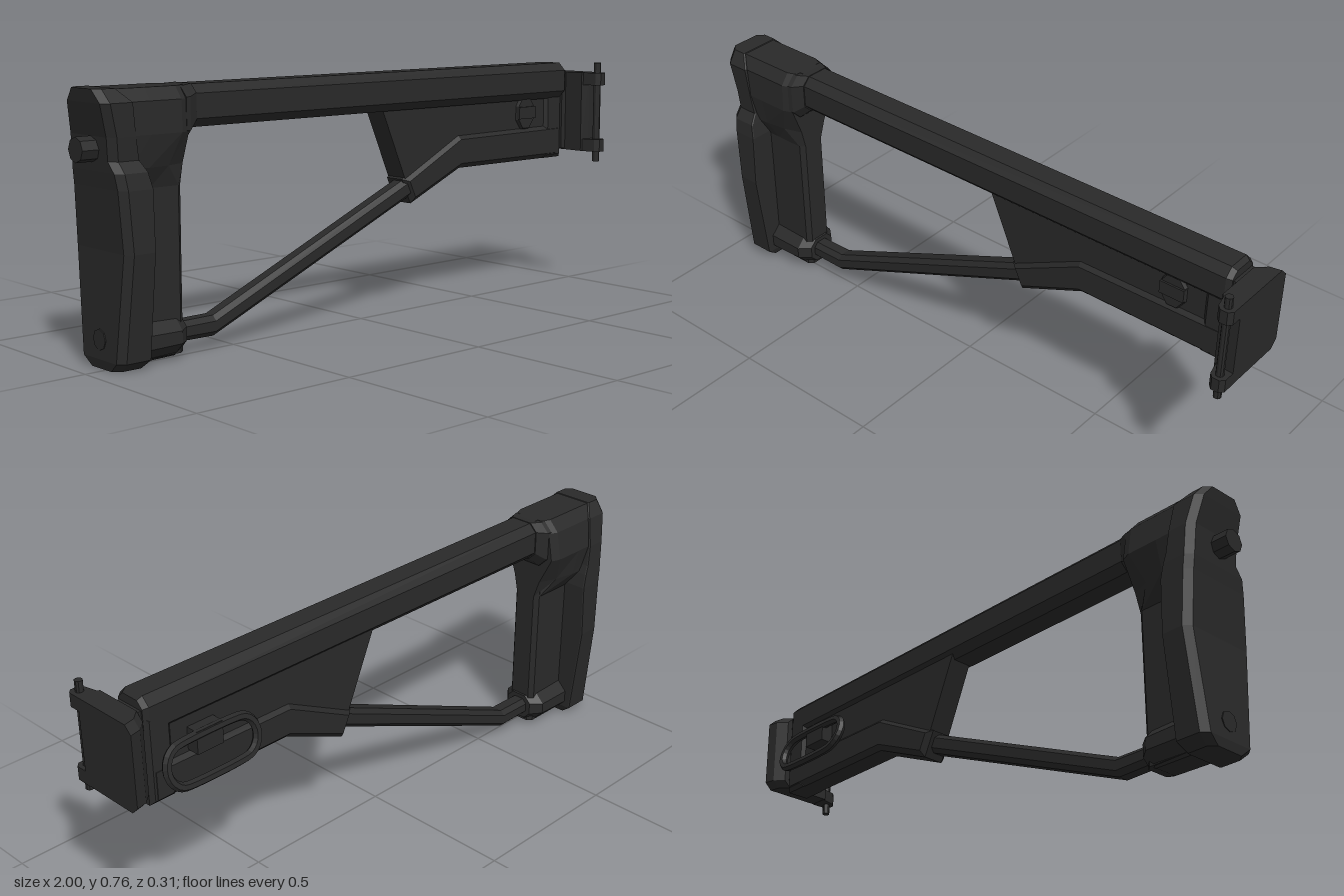
import * as THREE from 'three';

const ZC = -0.02; // centre plane of the stock
const ZB = -0.031; // centre plane of the boom, set towards the back

// Skin closed rings of [x,y,z] points into a flat-shaded, capped solid.
function loft(rings) {
  const n = rings[0].length, tris = [];
  for (let i = 0; i < rings.length - 1; i++) {
    for (let j = 0; j < n; j++) {
      const k = (j + 1) % n, a = rings[i], b = rings[i + 1];
      tris.push([a[j], a[k], b[k]], [a[j], b[k], b[j]]);
    }
  }
  const first = rings[0], last = rings[rings.length - 1];
  for (let j = 1; j < n - 1; j++) {
    tris.push([first[0], first[j + 1], first[j]], [last[0], last[j], last[j + 1]]);
  }
  let volume = 0;
  for (const [a, b, c] of tris) {
    volume += a[0] * (b[1] * c[2] - b[2] * c[1]) + a[1] * (b[2] * c[0] - b[0] * c[2]) + a[2] * (b[0] * c[1] - b[1] * c[0]);
  }
  if (volume < 0) tris.forEach((t) => t.reverse());
  const geo = new THREE.BufferGeometry();
  geo.setAttribute('position', new THREE.Float32BufferAttribute(tris.flat(2), 3));
  geo.computeVertexNormals();
  return geo;
}

// Rectangle with cut corners, half sizes a and b, cut c.
const octagon = (a, b, c) => [[a, b - c], [a - c, b], [c - a, b], [-a, b - c], [-a, c - b], [c - a, -b], [a - c, -b], [a, c - b]];

// Cross-sections in the yz plane: [x, y, halfWidth, halfHeight, cut]
const alongX = (rows) => loft(rows.map(([x, y, hw, hh, c]) => octagon(hw, hh, c).map(([u, v]) => [x, y + v, ZC + u])));

// Cross-sections in the xz plane from a profile [x, front width, back width].
const alongY = (rows) => loft(rows.map(([y, half]) => [
  ...half.map(([x, w]) => [x, y, ZC + w]),
  ...half.slice().reverse().map(([x, w, back = w]) => [x, y, ZC - back]),
]));

// Side outline extruded symmetrically about the boom's centre plane.
function plate(points, halfWidth, bevel) {
  const shape = new THREE.Shape(points.map(([x, y]) => new THREE.Vector2(x, y)));
  const depth = 2 * (halfWidth - bevel);
  const geo = new THREE.ExtrudeGeometry(shape, {
    depth, bevelEnabled: bevel > 0, bevelThickness: bevel, bevelSize: bevel, bevelOffset: -bevel, bevelSegments: 1,
  });
  return geo.translate(0, 0, ZB - depth / 2);
}

export function createModel() {
  const group = new THREE.Group();
  const black = new THREE.MeshStandardMaterial({ color: 0x292929, flatShading: true });
  black.name = 'matte black';

  const add = (name, geo, x = 0, y = 0, z = 0) => {
    const mesh = new THREE.Mesh(geo, black);
    mesh.name = name;
    mesh.position.set(x, y, z);
    group.add(mesh);
  };
  const box = (name, w, h, d, x, y, z) => add(name, new THREE.BoxGeometry(w, h, d), x, y, z);

  // Butt pad, notched on its front side: [y, back x, front x, front width, back width]
  const padRows = [
    [0.003, -0.935, -0.85, 0.067, 0.067], [0.03, -0.94, -0.84, 0.1, 0.1], [0.33, -0.93, -0.84, 0.132, 0.132],
    [0.5, -0.94, -0.84, 0.126, 0.126], [0.545, -0.945, -0.85, 0.118, 0.124], [0.575, -0.947, -0.86, 0.092, 0.122],
    [0.64, -0.952, -0.87, 0.095, 0.118], [0.73, -0.972, -0.88, 0.098, 0.1], [0.767, -0.978, -0.915, 0.067, 0.067],
  ];
  add('buttPad', alongY(padRows.map(([y, b, f, w, v]) => [y, [
    [b, w - 0.02, v - 0.02], [b + 0.02, w, v], [f - 0.002, w, v], [f, w - 0.004, v - 0.004],
  ]])));

  // Narrow upright spine in front of the pad
  const spine = [[-0.87, 0.048], [-0.8, 0.048], [-0.705, 0.048], [-0.69, 0.035]];
  add('buttSpine', alongY([[0.018, spine], [0.6, spine]]));

  // Head block with shoulders sloping down to the spine
  const head = (w, v) => [[-0.93, w, v], [-0.82, w, v], [-0.72, w, v], [-0.69, w - 0.012, v - 0.012]];
  add('buttHead', alongY([
    [0.49, spine], [0.55, [[-0.88, 0.08, 0.095], [-0.82, 0.078, 0.092], [-0.75, 0.068, 0.078], [-0.69, 0.048, 0.055]]],
    [0.64, head(0.093, 0.112)], [0.73, head(0.09, 0.095)], [0.765, head(0.062, 0.062)],
  ]));
  add('headCollar', alongX([
    [-0.7, 0.688, 0.085, 0.076, 0.03], [-0.685, 0.688, 0.083, 0.076, 0.03], [-0.65, 0.705, 0.063, 0.062, 0.025],
  ]));

  // Button and screw on the back of the pad
  const stud = (r, h) => new THREE.CylinderGeometry(r, r, h, 8).rotateZ(Math.PI / 2);
  add('padButton', stud(0.035, 0.06), -0.97, 0.605, ZC);
  add('padScrew', stud(0.03, 0.006), -0.938, 0.085, ZC);

  // Top tube
  add('topTube', alongX([
    [-0.7, 0.705, 0.06, 0.06, 0.025], [0.91, 0.705, 0.06, 0.06, 0.025], [0.925, 0.705, 0.05, 0.05, 0.02],
  ]));

  // Lower strut with its flanged socket
  add('strutSocket', alongX([
    [-0.85, 0.07, 0.08, 0.06, 0.04], [-0.72, 0.07, 0.078, 0.058, 0.04], [-0.685, 0.07, 0.048, 0.042, 0.022],
  ]));
  add('lowerStrut', alongX([
    [-0.75, 0.07, 0.032, 0.028, 0.015], [-0.57, 0.07, 0.032, 0.03, 0.015], [0.25, 0.418, 0.032, 0.033, 0.015],
  ]));

  // Recessed web, thick lower boom and end block
  add('web', plate([[0.08, 0.66], [0.185, 0.42], [0.43, 0.5], [0.9, 0.5], [0.9, 0.66]], 0.038, 0));
  add('lowerBoom', plate([[0.172, 0.425], [0.21, 0.345], [0.43, 0.44], [0.92, 0.44], [0.92, 0.555], [0.42, 0.55]], 0.05, 0.016));
  add('endBlock', plate([[0.84, 0.44], [0.925, 0.44], [0.925, 0.71], [0.84, 0.71]], 0.049, 0.012));
  box('hingeNeck', 0.04, 0.26, 0.09, 0.935, 0.6, ZC);

  // Sling catch: boss on the front, lug on the back
  const boss = new THREE.CylinderGeometry(0.045, 0.05, 0.014, 8, 1).rotateX(Math.PI / 2);
  add('catchBoss', boss.rotateZ(Math.PI / 8).scale(0.9, 1.25, 1), 0.74, 0.603, 0.011);
  box('catchPin', 0.08, 0.04, 0.012, 0.74, 0.603, 0.018);
  box('catchLug', 0.09, 0.07, 0.05, 0.74, 0.59, -0.085);

  // Tilted stadium-shaped sling loop
  const path = [];
  for (let i = 0; i < 20; i++) {
    const a = ((i + 0.5) / 20) * Math.PI * 2;
    const side = Math.cos(a) > 0 ? 1 : -1;
    const v = Math.sin(a);
    path.push(new THREE.Vector3(0.74 + side * 0.1 + Math.cos(a) * 0.056, 0.552 + v * 0.058, -0.118 + v * 0.014));
  }
  add('slingLoop', new THREE.TubeGeometry(new THREE.CatmullRomCurve3(path, true), 48, 0.014, 6, true));

  // Hinge plate: outline in zy, narrower on the inner face
  const hingeOutline = (x, inset) => [
    [0.105, 0.465], [0.105, 0.733], [-0.095, 0.733], [-0.118, 0.71], [-0.118, 0.488], [-0.095, 0.465],
  ].map(([z, y]) => [x, y, z < 0 ? z + inset : z - inset * 0.3]);
  add('hingePlate', loft([hingeOutline(0.935, 0.035), hingeOutline(0.965, 0.008), hingeOutline(1, 0)]));

  // Hinge knuckles and pin
  for (const y of [0.485, 0.712]) {
    const knuckle = loft([y - 0.021, y + 0.021].map((h) => [
      [0.94, h, 0.09], [1, h, 0.09], [1, h, 0.14], [0.988, h, 0.153], [0.965, h, 0.153], [0.952, h, 0.14],
    ]));
    add('hingeKnuckle', knuckle);
  }
  add('hingePin', new THREE.CylinderGeometry(0.012, 0.012, 0.337, 10), 0.975, 0.598, 0.13);

  return group;
}
